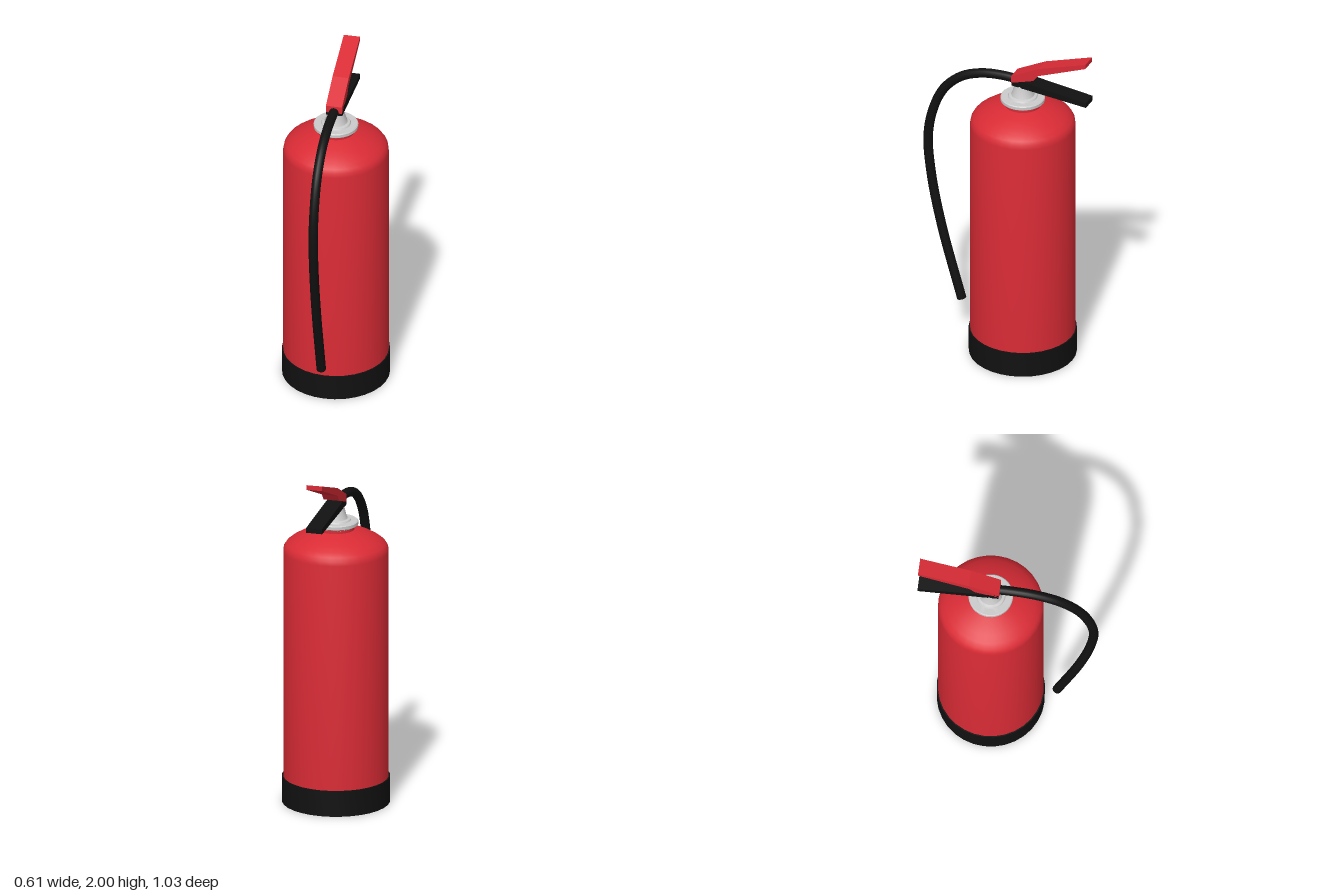
import * as THREE from 'three';
import { toCreasedNormals } from 'three/addons/utils/BufferGeometryUtils.js';

const AXIS_Z = -0.1; // the tank stands slightly behind the origin
const material = (color) => new THREE.MeshStandardMaterial({ color });
const red = material(0xd92b35);
const black = material(0x111111);
const grey = material(0xcccccc);

const vectors = (points) => points.map(([a, b]) => new THREE.Vector2(a, b));

// Turned part from [radius, height] pairs
function turned(name, points, mat, segments = 32) {
  const geometry = toCreasedNormals(new THREE.LatheGeometry(vectors(points), segments), 0.65);
  const mesh = new THREE.Mesh(geometry, mat);
  mesh.name = name;
  mesh.position.z = AXIS_Z;
  return mesh;
}

// Side profile of [z, y] pairs, extruded across x and centred
function sidePlate(name, points, width, mat) {
  const shape = new THREE.Shape(vectors(points.map(([z, y]) => [-z, y])));
  const geometry = new THREE.ExtrudeGeometry(shape, { depth: width, bevelEnabled: false });
  geometry.translate(0, 0, -width / 2).rotateY(Math.PI / 2);
  const mesh = new THREE.Mesh(geometry, mat);
  mesh.name = name;
  return mesh;
}

export function createModel() {
  const model = new THREE.Group();
  model.name = 'fireExtinguisher';

  // Tank with rounded shoulder and short neck
  model.add(turned('tank', [
    [0, 0.1], [0.3, 0.1], [0.3, 1.49], [0.296, 1.515], [0.283, 1.535], [0.255, 1.557],
    [0.215, 1.58], [0.165, 1.602], [0.105, 1.62], [0.105, 1.64], [0, 1.64],
  ], red));

  // Foot ring, closed underneath
  model.add(turned('base', [
    [0, 0], [0.307, 0], [0.307, 0.152], [0.298, 0.152],
  ], black));

  // Valve: flange, step and tapering stem
  model.add(turned('valve', [
    [0, 1.635], [0.105, 1.635], [0.105, 1.645], [0.122, 1.645], [0.127, 1.65], [0.127, 1.667],
    [0.122, 1.672], [0.085, 1.672], [0.08, 1.68], [0.066, 1.684], [0.058, 1.705],
    [0.051, 1.735], [0.045, 1.765], [0, 1.765],
  ], grey));

  // Squeeze lever, bent upwards
  model.add(sidePlate('lever', [
    [-0.047, 1.77], [-0.11, 1.79], [-0.185, 1.815], [-0.217, 1.855],
    [-0.51, 1.973], [-0.51, 2.0], [-0.22, 1.903], [-0.047, 1.813],
  ], 0.094, red));

  // Carrying handle, sloping down to the back
  model.add(sidePlate('handle', [
    [-0.05, 1.753], [-0.513, 1.717], [-0.513, 1.747], [-0.05, 1.8],
  ], 0.094, black));

  // Hose arching forward and hanging down the front
  const path = new THREE.CatmullRomCurve3([
    [-0.1, 1.773], [0.02, 1.777], [0.15, 1.762], [0.28, 1.71], [0.385, 1.61], [0.45, 1.475],
    [0.488, 1.28], [0.47, 1.03], [0.405, 0.7], [0.28, 0.247],
  ].map(([z, y]) => new THREE.Vector3(0, y, z)));
  const hose = new THREE.Group();
  hose.name = 'hose';
  const tube = new THREE.Mesh(new THREE.TubeGeometry(path, 64, 0.027, 16), black);
  tube.name = 'hoseTube';
  const tip = new THREE.Mesh(new THREE.CircleGeometry(0.027, 16), black);
  tip.name = 'hoseTip';
  tip.position.copy(path.getPoint(1));
  tip.lookAt(path.getPoint(1).add(path.getTangent(1)));
  hose.add(tube, tip);
  model.add(hose);

  return model;
}
